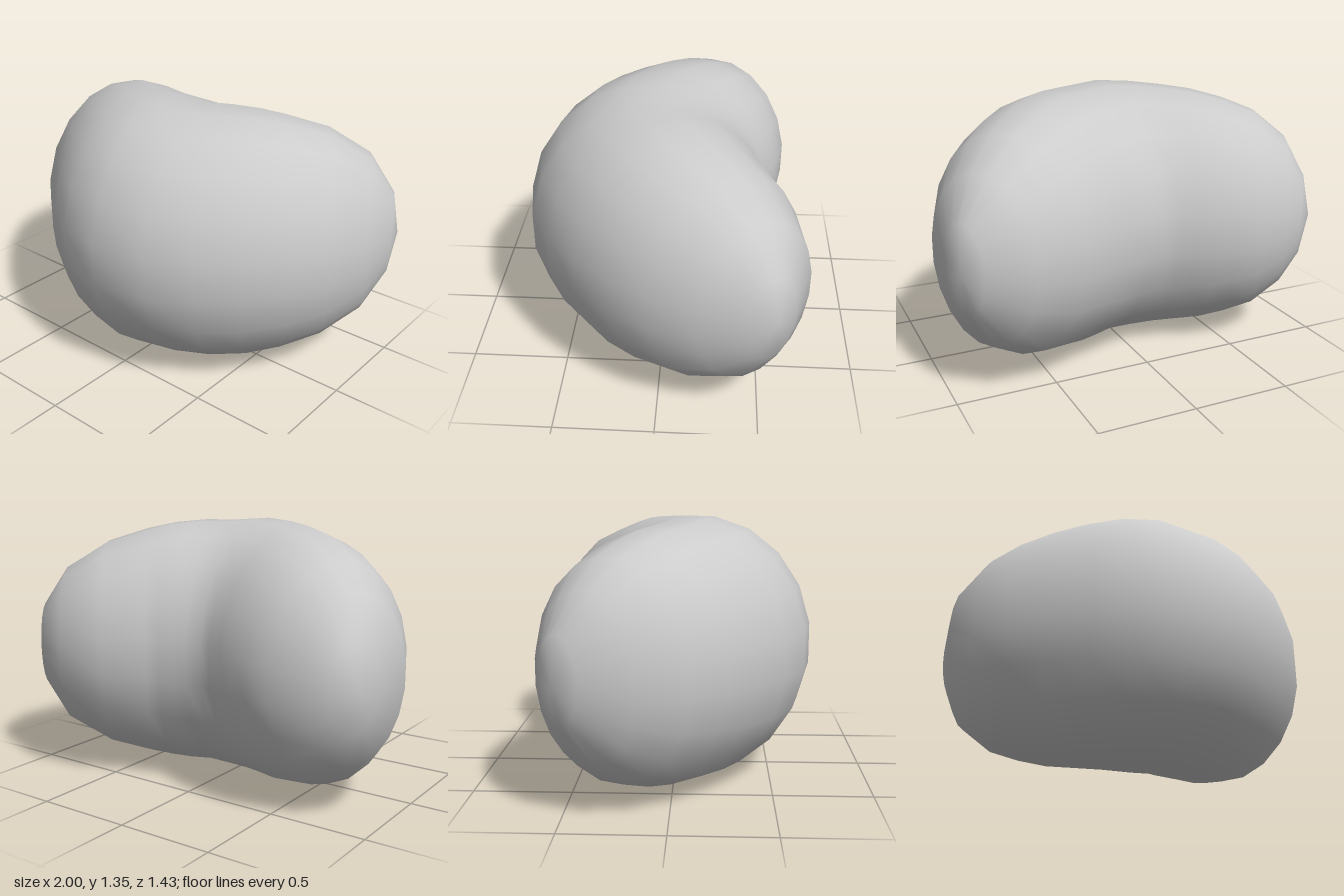
import * as THREE from 'three';

const SIDES = 20;
const MID_Y = 0.675;

// Cross-sections from right lobe tip (-x) to left lobe tip (+x):
// [back x, back z, front x, front z, half height]
const SECTIONS = [
  [-0.84, -0.59, -0.99, -0.39, 0.21],
  [-0.73, -0.62, -1.0, -0.13, 0.40],
  [-0.57, -0.645, -0.9, 0.1, 0.53],
  [-0.43, -0.62, -0.77, 0.27, 0.59],
  [-0.33, -0.595, -0.6, 0.42, 0.63],
  [-0.24, -0.56, -0.42, 0.56, 0.65],
  [-0.16, -0.53, -0.22, 0.67, 0.665],
  [-0.09, -0.51, 0.02, 0.715, 0.675],
  [-0.01, -0.525, 0.3, 0.665, 0.66],
  [0.06, -0.54, 0.5, 0.55, 0.66],
  [0.13, -0.56, 0.68, 0.4, 0.645],
  [0.2, -0.575, 0.82, 0.23, 0.615],
  [0.41, -0.68, 0.93, 0.04, 0.55],
  [0.66, -0.72, 1.0, -0.2, 0.42],
  [0.88, -0.64, 1.0, -0.43, 0.22],
];

function beanGeometry() {
  const pos = [], idx = [];
  // Half-step offset rings, enlarged so flats land on the outline
  const grow = 1 / Math.cos(Math.PI / SIDES);
  for (const [bx, bz, fx, fz, h] of SECTIONS) {
    for (let j = 0; j < SIDES; j++) {
      const a = ((j + 0.5) / SIDES) * Math.PI * 2;
      const c = Math.cos(a) * grow, s = Math.sin(a) * grow;
      pos.push((bx + fx) / 2 + c * (fx - bx) / 2, MID_Y + h * s, (bz + fz) / 2 + c * (fz - bz) / 2);
    }
  }
  const rings = SECTIONS.length;
  const rightTip = rings * SIDES, leftTip = rightTip + 1;
  pos.push(-0.95, MID_Y, -0.51, 0.97, MID_Y, -0.56);

  for (let j = 0; j < SIDES; j++) {
    const k = (j + 1) % SIDES;
    for (let i = 0; i < rings - 1; i++) {
      const p = i * SIDES, q = p + SIDES;
      idx.push(p + j, q + j, p + k, p + k, q + j, q + k);
    }
    // Rounded lobe ends
    const last = (rings - 1) * SIDES;
    idx.push(rightTip, j, k, leftTip, last + k, last + j);
  }
  const g = new THREE.BufferGeometry();
  g.setAttribute('position', new THREE.Float32BufferAttribute(pos, 3));
  g.setIndex(idx);
  g.computeVertexNormals();
  return g;
}

export function createModel() {
  const group = new THREE.Group();
  group.name = 'bean';
  const body = new THREE.Mesh(beanGeometry(), new THREE.MeshStandardMaterial({ color: 0xcccccc }));
  body.name = 'beanBody';
  group.add(body);
  return group;
}
